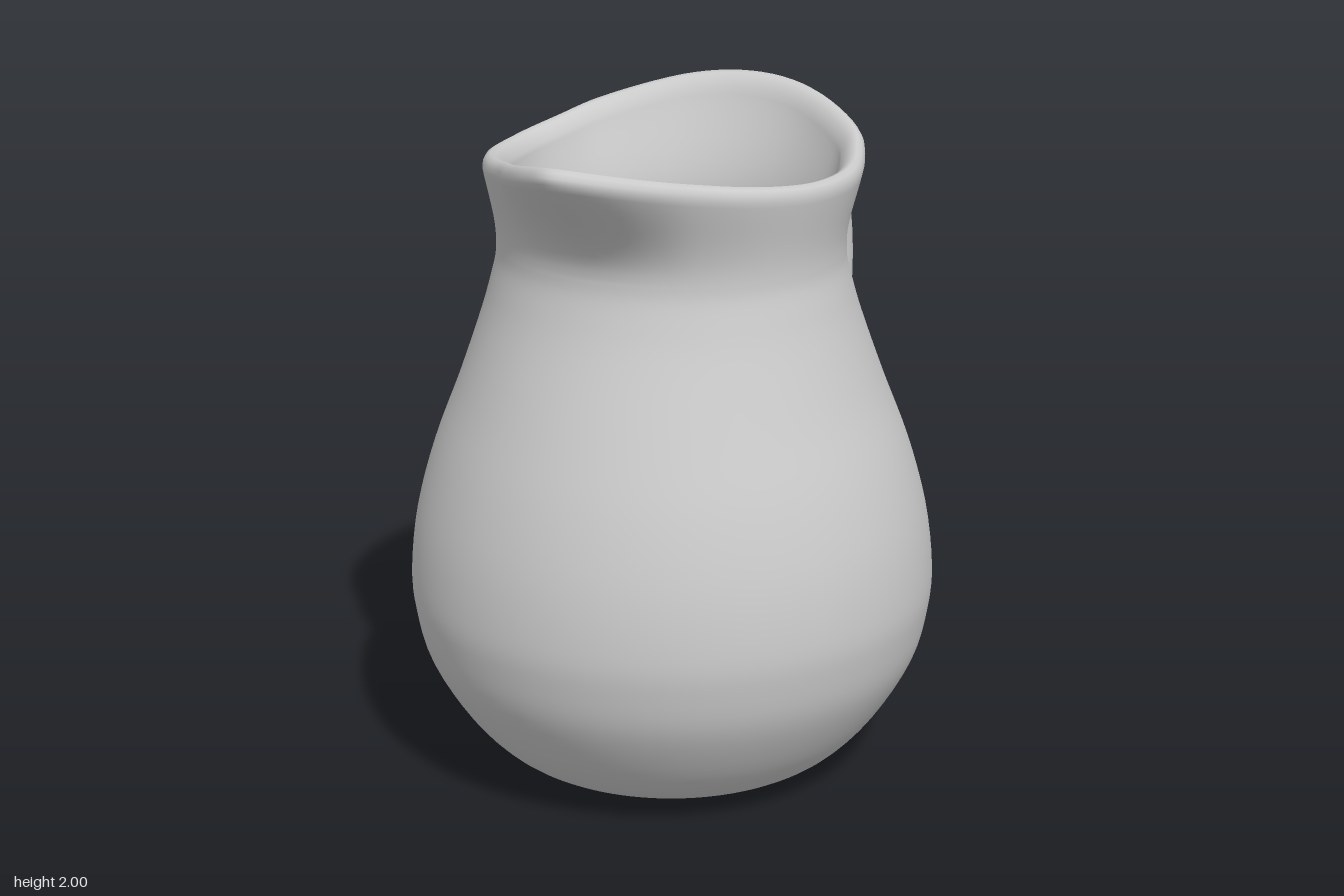
import * as THREE from 'three';

// Skin a list of closed rings (arrays of Vector3 with equal counts)
function loft(rings) {
  const n = rings[0].length, index = [];
  for (let i = 0; i < rings.length - 1; i++) {
    for (let j = 0; j < n; j++) {
      const k = (j + 1) % n;
      const a = i * n + j, b = i * n + k, c = a + n, d = b + n;
      index.push(a, c, b, b, c, d);
    }
  }
  const geometry = new THREE.BufferGeometry().setFromPoints(rings.flat());
  geometry.setIndex(index);
  geometry.computeVertexNormals();
  return geometry;
}

const V2 = (x, y) => new THREE.Vector2(x, y);
const NECK = 1.62, WALL = 0.07;

// Teardrop rim outline seen from above, spout towards -x
function rimOutline() {
  const half = [[0, 0.748], [9, 0.70], [23, 0.613], [34, 0.565], [48, 0.549], [65, 0.542], [80, 0.544],
    [99, 0.553], [115, 0.56], [131, 0.575], [158, 0.585], [180, 0.59]];
  const mirrored = half.slice(1, -1).reverse().map(([a, r]) => [360 - a, r]);
  const points = [...half, ...mirrored].map(([deg, r]) => {
    const a = THREE.MathUtils.degToRad(deg);
    return new THREE.Vector3(-r * Math.cos(a), 0, -r * Math.sin(a));
  });
  return new THREE.CatmullRomCurve3(points, true).getPoints(132).slice(0, -1);
}

function bodyGeometry() {
  const profile = new THREE.SplineCurve([
    V2(0, 0.005), V2(0.2, 0.005), V2(0.36, 0.01), V2(0.45, 0.035), V2(0.545, 0.09), V2(0.645, 0.2),
    V2(0.738, 0.36), V2(0.774, 0.5), V2(0.782, 0.62), V2(0.76, 0.8), V2(0.705, 1.0), V2(0.628, 1.2),
    V2(0.552, 1.4), V2(0.52, 1.5), V2(0.502, 1.57), V2(0.499, NECK)]).getPoints(60);

  // One wall section: up the outside, over the lip, down the inside
  const section = (rim) => {
    const r = Math.hypot(rim.x, rim.z), cos = rim.x / r, sin = rim.z / r;
    const top = 1.865 + (rim.x > 0 ? 0.135 * (rim.x / 0.59) ** 2 : 0.125 * (rim.x / 0.748) ** 2);
    // The neck is slightly oval
    const oval = (y) => 1 - 0.032 * THREE.MathUtils.smoothstep(y, 1.15, NECK) * (cos * cos - sin * sin);
    const neck = 0.499 * oval(NECK), flare = [];
    for (let i = 1; i <= 14; i++) {
      const t = i / 14;
      flare.push([neck + (r - neck) * t * t * (2 - t), NECK + (top - 0.04 - NECK) * t]);
    }
    const outside = profile.map((p) => [p.x * oval(p.y), p.y]).concat(flare);
    const lip = [[r - 0.002, top - 0.022], [r - 0.01, top - 0.008], [r - 0.024, top],
      [r - 0.04, top - 0.005], [r - 0.055, top - 0.018]];
    const inside = outside.map(([x, y]) =>
      [Math.max(x - WALL, 0), y + 0.06 * Math.max(1 - y / NECK, 0)]).reverse();
    return [...outside, ...lip, ...inside].map(([x, y]) => new THREE.Vector3(x * cos, y, x * sin));
  };

  const sections = rimOutline().map(section);
  return loft(sections[0].map((_, i) => sections.map((s) => s[i])));
}

function handleGeometry(axisX, turn) {
  // Centre line as [x, y, half thickness, half width]
  const stations = [
    [0.30, 1.47, 0.105, 0.165], [0.36, 1.555, 0.1, 0.158], [0.46, 1.637, 0.096, 0.146],
    [0.6, 1.668, 0.094, 0.14], [0.74, 1.612, 0.09, 0.14], [0.828, 1.48, 0.087, 0.142],
    [0.857, 1.3, 0.085, 0.142], [0.836, 1.1, 0.083, 0.14], [0.775, 0.91, 0.078, 0.135],
    [0.69, 0.74, 0.071, 0.135], [0.63, 0.62, 0.072, 0.162], [0.6, 0.545, 0.075, 0.17], [0.588, 0.46, 0.07, 0.165]];
  const local = (x) => (x - axisX) / Math.cos(turn);
  const path = new THREE.CatmullRomCurve3(stations.map(([x, y]) => new THREE.Vector3(local(x), y, 0)));
  const sizes = new THREE.CatmullRomCurve3(
    stations.map(([, , a, b], i) => new THREE.Vector3(a, b, i * 0.1)), false, 'catmullrom');
  const steps = 96, sides = 32, rings = [];
  for (let i = 0; i <= steps; i++) {
    const t = i / steps, p = path.getPoint(t), tan = path.getTangent(t), size = sizes.getPoint(t);
    // Rounded ends
    const end = Math.min(t / 0.03, (1 - t) / 0.11, 1);
    const round = Math.sqrt(Math.max(0, 1 - (1 - end) ** 2));
    const ring = [];
    for (let j = 0; j < sides; j++) {
      const f = (j / sides) * Math.PI * 2;
      const u = size.x * round * Math.cos(f), w = size.y * round * Math.sin(f);
      ring.push(new THREE.Vector3(p.x + tan.y * u, p.y - tan.x * u, w));
    }
    rings.push(ring);
  }
  return loft(rings);
}

export function createModel() {
  const axisX = -0.165, turn = THREE.MathUtils.degToRad(10);
  const material = new THREE.MeshStandardMaterial({ color: 0xcccccc });
  const jug = new THREE.Group();
  jug.name = 'jug';
  // Spout and handle share one plane, turned about the jug's axis
  jug.position.x = axisX;
  jug.rotation.y = turn;

  const body = new THREE.Mesh(bodyGeometry(), material);
  body.name = 'body';
  const handle = new THREE.Mesh(handleGeometry(axisX, turn), material);
  handle.name = 'handle';
  jug.add(body, handle);

  const model = new THREE.Group();
  model.name = 'pitcher';
  model.add(jug);
  return model;
}
